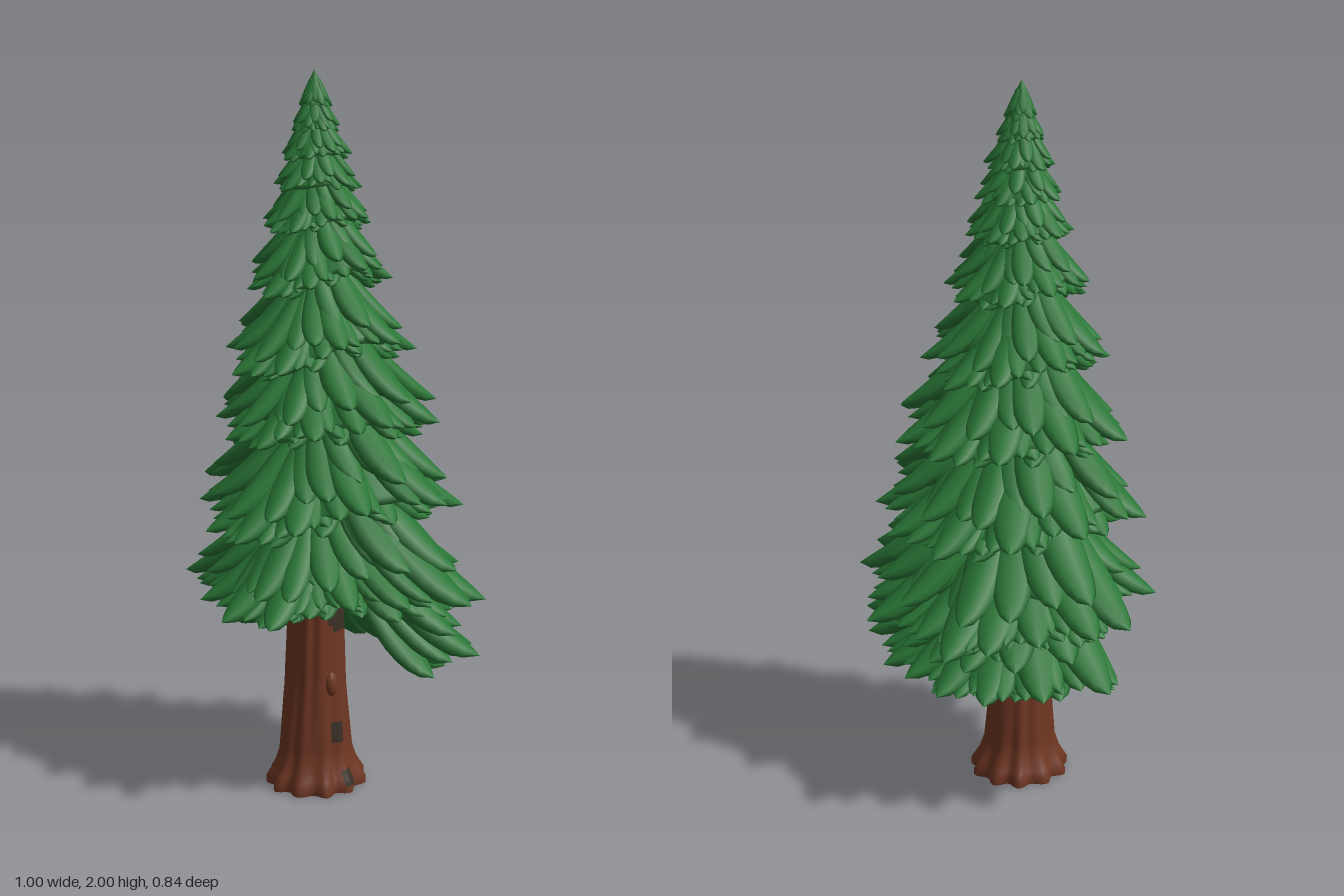
import * as THREE from 'three';
import { mergeGeometries } from 'three/addons/utils/BufferGeometryUtils.js';

const AX = -0.005, AZ = 0.05; // trunk axis
const TAU = Math.PI * 2;
let seed = 11;
const rnd = () => (seed = (seed * 16807) % 2147483647) / 2147483647;
const jit = (a) => (rnd() * 2 - 1) * a;

// closed loops of points joined into a smooth skin; pick(row, col) sends a face to material 0 or 1
function skin(rows, cols, point, pick = () => 0) {
  const pos = [], faces = [[], []];
  for (let i = 0; i <= rows; i++)
    for (let j = 0; j < cols; j++) pos.push(...point(i / rows, (j / cols) * TAU));
  for (let i = 0; i < rows; i++)
    for (let j = 0; j < cols; j++) {
      const k = (j + 1) % cols, a = i * cols + j, b = i * cols + k, c = a + cols, d = b + cols;
      faces[pick(i, j)].push(a, c, b, b, c, d);
    }
  const g = new THREE.BufferGeometry();
  g.setAttribute('position', new THREE.Float32BufferAttribute(pos, 3));
  g.setIndex([...faces[0], ...faces[1]]);
  if (faces[1].length) {
    g.addGroup(0, faces[0].length, 0);
    g.addGroup(faces[0].length, faces[1].length, 1);
  }
  g.computeVertexNormals();
  return g;
}

// piecewise linear lookup in [[x, y], ...]
function lookup(table, x) {
  for (let i = 1; i < table.length; i++) {
    const [x0, y0] = table[i - 1], [x1, y1] = table[i];
    if (x <= x1) return y0 + ((y1 - y0) * (x - x0)) / (x1 - x0);
  }
  return table[table.length - 1][1];
}

// uneven outline of the widest tier: direction in degrees (90 is the front), reach
const OUTLINE = [[-180, 0.37], [-176, 0.42], [-169, 0.505], [-160, 0.505], [-139, 0.445], [-122, 0.46], [-109, 0.49],
  [-97, 0.38], [-84, 0.41], [-67, 0.475], [-50, 0.43], [-24, 0.5], [-9, 0.5], [-3, 0.46], [10, 0.33], [25, 0.325],
  [47, 0.3], [65, 0.36], [85, 0.37], [105, 0.29], [117, 0.335], [137, 0.335], [154, 0.39], [171, 0.33], [180, 0.37]];
const WIDE_BOUGHS = [-169, -157, -139, -122, -108, -85, -67, -50, -26, -9, 4, 25, 45, 65, 86, 117, 136, 154, 172];

// reach and tip height of a tier in a given direction
function tierAt(t, a) {
  const dx = Math.cos(a), dz = Math.sin(a), front = dz > 0, p = front ? 1.4 : 2;
  const reach = t.wide ? lookup(OUTLINE, THREE.MathUtils.radToDeg(Math.atan2(dz, dx)))
    : (Math.abs(dx / t.rx) ** p + Math.abs(dz / (front ? t.rf : t.rb)) ** p) ** (-1 / p);
  const tip = t.y + ((front ? t.yf : t.yb) - t.y) * dz * dz;
  return { reach, tip, drop: 0.8 * reach + 0.06 };
}

// one drooping needle lobe, swept outwards from the trunk
function lobe(t, a, spread, scale, lift, width) {
  const { reach, tip, drop } = tierAt(t, a + spread);
  const R = reach * scale, t0 = 0.28;
  const spine = (s) => {
    const q = t0 + (1 - t0) * s, ang = a + spread * q;
    return new THREE.Vector3(AX + Math.cos(ang) * R * q,
      tip + lift + drop * (1 - q) ** 1.6, AZ + Math.sin(ang) * R * q);
  };
  const up = new THREE.Vector3(0, 1, 0);
  return skin(9, 8, (s, th) => {
    const c = spine(s), s0 = Math.min(s, 0.98);
    const dir = spine(s0 + 0.02).sub(spine(s0)).normalize();
    const side = new THREE.Vector3().crossVectors(dir, up).normalize();
    const n = new THREE.Vector3().crossVectors(side, dir);
    const w = width * (s < 0.5 ? 0.5 + 0.5 * Math.sin(s * Math.PI)
      : Math.max(0, 1 - ((s - 0.5) / 0.5) ** 2) ** 0.75);
    c.addScaledVector(side, w * Math.cos(th)).addScaledVector(n, w * 0.58 * Math.sin(th));
    return c.toArray();
  });
}

// solid inner cone with a rounded underside that closes a tier
function core(t) {
  const profile = [[0.05, 0.1], [0.3, 0.03], [0.55, -0.03], [0.7, -0.01], [0.74, 0.06], [0.55, 0.23], [0.3, 0.51], [0.03, 0.91]];
  return skin(profile.length - 1, 48, (s, th) => {
    const [r, h] = profile[Math.round(s * (profile.length - 1))];
    const { reach, tip, drop } = tierAt(t, th);
    return [AX + Math.cos(th) * reach * r, tip + drop * h, AZ + Math.sin(th) * reach * r];
  });
}

// boughs of a tier at the given directions, each a fan of lobes
function boughs(t, angles, step) {
  return angles.flatMap((angle) => {
    const a = angle + jit(step * 0.1), parts = [];
    const { reach } = tierAt(t, a), w = 0.115 * reach + 0.008;
    const s = 1 + jit(0.03);
    parts.push(lobe(t, a, 0, s, jit(0.01), w));
    // side fingers of the bough, the outer ones hanging lower
    const hang = -(0.03 + 0.09 * Math.cos(a) ** 2) * reach;
    for (const m of [-1, 1]) {
      parts.push(lobe(t, a, m * step * (0.32 + jit(0.05)), s * (0.9 + jit(0.04)), jit(0.012), w * 0.85));
      if (reach > 0.13)
        parts.push(lobe(t, a, m * step * (0.55 + jit(0.06)), s * (0.8 + jit(0.04)), hang, w * 0.85));
    }
    // upper layer
    const lift = 0.15 * reach + 0.006;
    parts.push(lobe(t, a + step * 0.5, 0, 0.9 + jit(0.04), lift, w * 0.95));
    if (reach > 0.13)
      for (const m of [-1, 1])
        parts.push(lobe(t, a + step * 0.2, m * step * 0.35, 0.74 + jit(0.05), lift * 1.2, w * 0.9));
    return parts;
  });
}

// fluted trunk surface flaring into root lobes
const RADIUS = [[0, 0.13], [0.025, 0.133], [0.05, 0.115], [0.1, 0.1], [0.3, 0.084], [0.66, 0.07]];
function trunkPoint(y, th, scale = 1) {
  const flute = 0.03 + 0.06 * Math.exp(-y * 18);
  const r = scale * lookup(RADIUS, y) * (1 + flute * Math.cos(11 * th + 0.4) + 0.015 * Math.sin(16 * th + y * 9));
  return [AX - 0.003 + Math.cos(th) * r, y, AZ - 0.005 + Math.sin(th) * r * 1.04];
}

export function createModel() {
  const tree = new THREE.Group();
  tree.name = 'pineTree';
  const mat = (name, color) => {
    const m = new THREE.MeshStandardMaterial({ color });
    m.name = name;
    return m;
  };
  const green = mat('needleGreen', 0x297535);
  const bark = mat('barkBrown', 0x6e3622);
  const dark = mat('darkBark', 0x3a3026);
  const add = (name, geometry, material) => {
    const m = new THREE.Mesh(geometry, material);
    m.name = name;
    tree.add(m);
    return m;
  };

  // trunk with dark bark patches on its left side and under the back boughs
  const H = 0.66, ROWS = 33, COLS = 72;
  const trunk = skin(ROWS, COLS, (s, th) => trunkPoint(s * H, th), (i, j) => {
    const y = ((i + 0.5) / ROWS) * H, k = j > COLS / 2 ? j - COLS : j;
    const patch = (y > 0.13 && y < 0.21 && k >= -2 && k < 3) || (y > 0.02 && y < 0.06 && k >= -3 && k < 1)
      || (y > 0.46 + 0.012 * Math.max(0, k) && k > -14 && k < 7) || (y > 0.5 && k < 0);
    return patch ? 1 : 0;
  });
  add('trunk', trunk, [bark, dark]);
  add('trunkBase', skin(1, COLS, (s, th) => trunkPoint(0, th, s)), dark);

  // bark knots
  for (const [x, y, z] of [[-0.084, 0.325, 0.06], [0.07, 0.31, 0.06]]) {
    const knot = add('barkKnot', new THREE.SphereGeometry(0.02, 12, 8), bark);
    knot.position.set(x, y, z);
    knot.scale.set(0.8, 1.8, 1);
  }

  // low boughs on the back half only
  const low = { y: 0.44, yf: 0.56, yb: 0.38, rx: 0.5, rf: 0.1, rb: 0.4 };
  const lowAngles = Array.from({ length: 8 }, (_, i) => -Math.PI + 0.36 + (i * (Math.PI - 0.72)) / 7);
  add('lowBackBoughs', mergeGeometries(boughs(low, lowAngles, 0.36)), green);

  // widest tier with uneven reach
  const wide = { wide: true, y: 0.61, yf: 0.55, yb: 0.53 };
  const wideAngles = WIDE_BOUGHS.map(THREE.MathUtils.degToRad);
  add('boughTier1', mergeGeometries([core(wide), ...boughs(wide, wideAngles, 0.36)]), green);

  // upper tiers: side, front and back tip heights, then side, front and back reach, bough count
  const tiers = [
    [0.87, 0.76, 0.78, 0.42, 0.34, 0.4, 12],
    [1.08, 1.02, 1.03, 0.365, 0.285, 0.36, 11],
    [1.29, 1.2, 1.21, 0.285, 0.275, 0.27, 10],
    [1.48, 1.41, 1.42, 0.22, 0.215, 0.205, 9],
    [1.61, 1.58, 1.58, 0.165, 0.16, 0.155, 9],
    [1.7, 1.69, 1.69, 0.13, 0.125, 0.125, 8],
    [1.78, 1.77, 1.77, 0.105, 0.1, 0.1, 8],
    [1.85, 1.845, 1.845, 0.072, 0.072, 0.072, 7],
    [1.905, 1.905, 1.905, 0.048, 0.048, 0.048, 6],
  ];
  tiers.forEach(([y, yf, yb, rx, rf, rb, n], i) => {
    const t = { y, yf, yb, rx, rf, rb }, step = TAU / n;
    const angles = Array.from({ length: n }, (_, k) => (i + 1) * 0.37 + k * step);
    add('boughTier' + (i + 2), mergeGeometries([core(t), ...boughs(t, angles, step)]), green);
  });

  // pointed crown
  const crown = [[0, 1.9], [0.03, 1.915], [0.032, 1.93], [0.02, 1.96], [0.008, 1.985], [0, 2]];
  add('crownTip', new THREE.LatheGeometry(crown.map(([x, y]) => new THREE.Vector2(x, y)), 14), green)
    .position.set(AX, 0, AZ);
  return tree;
}
